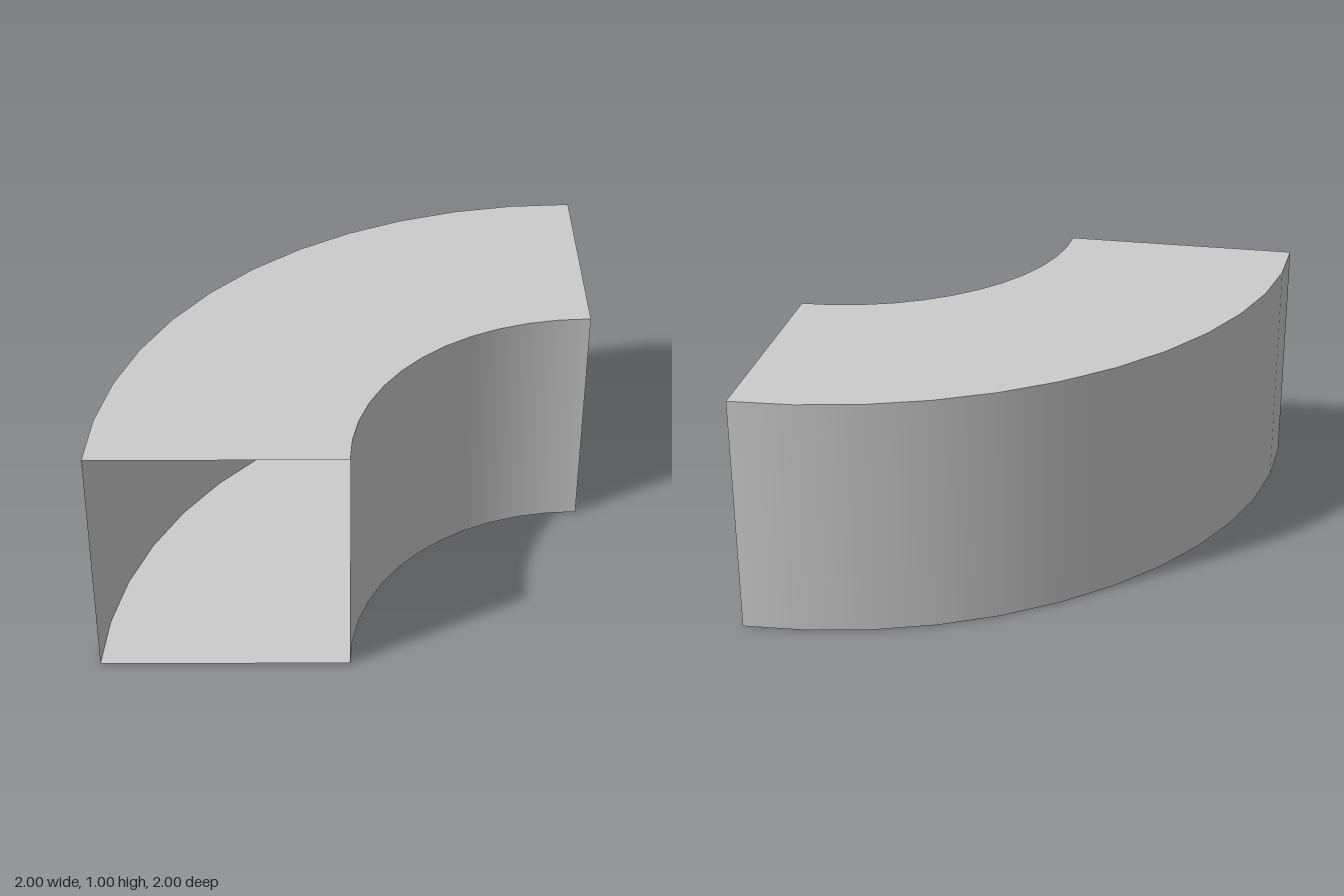
import * as THREE from 'three';

const INNER = 1, OUTER = 2, HEIGHT = 1, SEGMENTS = 12;

// Open-ended rectangular duct turning through a quarter circle.
export function createModel() {
  const duct = new THREE.Group();
  duct.name = 'ductElbow';
  const material = new THREE.MeshStandardMaterial({ color: 0xcccccc, side: THREE.DoubleSide });

  const add = (name, geometry, y) => {
    const mesh = new THREE.Mesh(geometry, material);
    mesh.name = name;
    mesh.position.set(1, y, 1); // centre of the bend
    duct.add(mesh);
  };

  // Curved side walls
  const wall = (radius) =>
    new THREE.CylinderGeometry(radius, radius, HEIGHT, SEGMENTS, 1, true, Math.PI, Math.PI / 2);
  add('outerWall', wall(OUTER), HEIGHT / 2);
  add('innerWall', wall(INNER), HEIGHT / 2);

  // Flat top and bottom panels, each facing outwards
  const panel = () =>
    new THREE.RingGeometry(INNER, OUTER, SEGMENTS, 1, Math.PI / 2, Math.PI / 2).rotateX(-Math.PI / 2);
  add('topPanel', panel(), HEIGHT);
  add('bottomPanel', panel(), 0);

  return duct;
}
